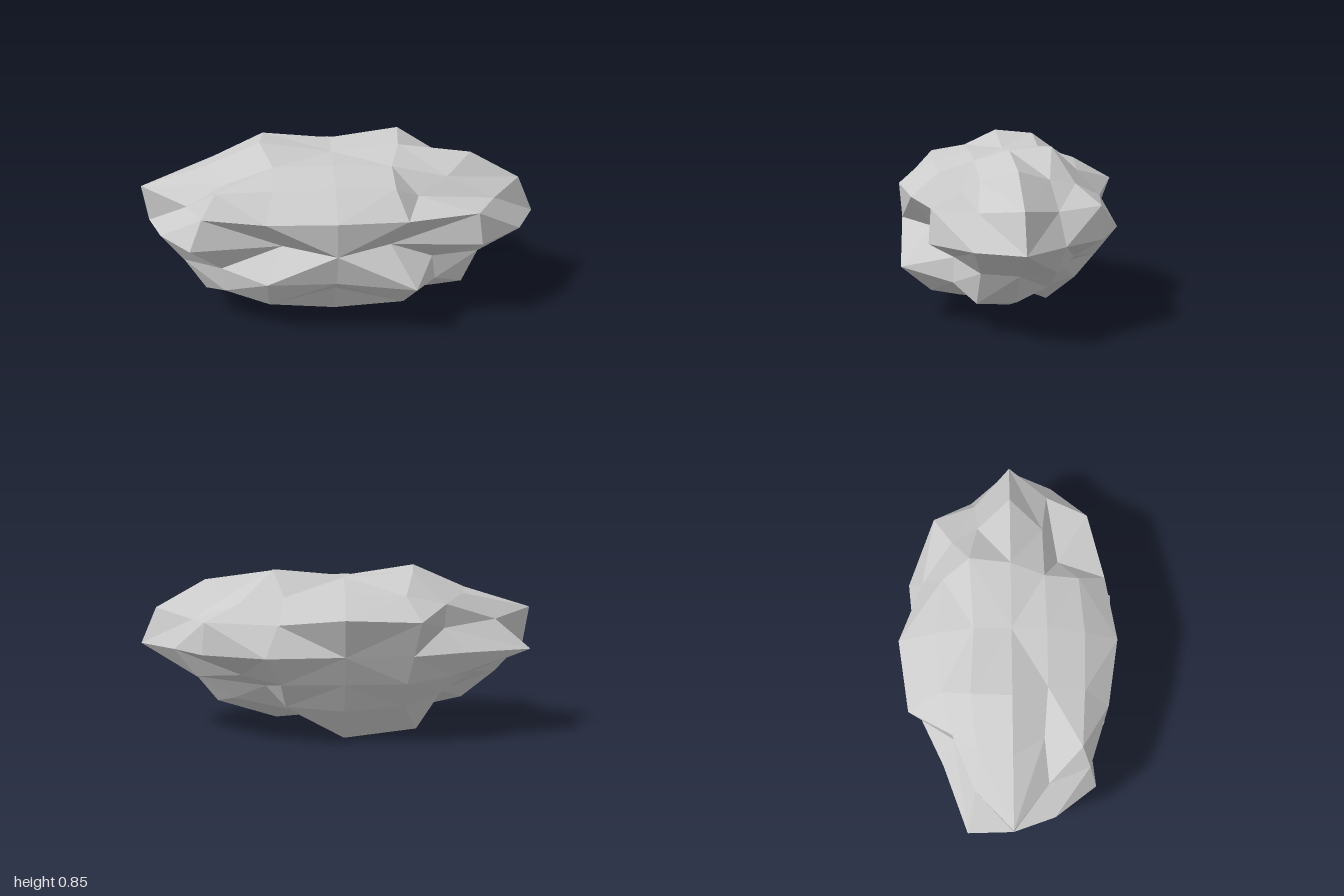
import * as THREE from 'three';

// Radii in percent on a 5 x 5 x 5 cube-sphere lattice.
// One layer per height (bottom to top), rows run back to front, columns -x to +x.
const _ = 0;
const LAYERS = [
  [[82, 87, 88, 87, 68],
   [73, 102, 105, 79, 83],
   [87, 82, 78, 91, 92],
   [97, 85, 98, 87, 98],
   [95, 99, 78, 100, 87]],
  [[80, 85, 81, 87, 76],
   [75, _, _, _, 86],
   [85, _, _, _, 84],
   [87, _, _, _, 85],
   [84, 95, 89, 107, 73]],
  [[84, 87, 85, 99, 98],
   [101, _, _, _, 92],
   [93, _, _, _, 104],
   [93, _, _, _, 101],
   [100, 68, 89, 70, 101]],
  [[74, 102, 105, 90, 102],
   [88, _, _, _, 88],
   [104, _, _, _, 104],
   [84, _, _, _, 93],
   [97, 95, 99, 96, 104]],
  [[87, 90, 90, 88, 89],
   [89, 96, 83, 99, 86],
   [88, 94, 75, 88, 100],
   [79, 83, 79, 81, 85],
   [100, 91, 88, 88, 72]],
];

const CENTRE = new THREE.Vector3(-0.04, 0.45, 0.02);
const SCALE = new THREE.Vector3(1, 0.465, 0.58);

// Lattice point pushed out to its radius, then squashed to the rock's proportions
function surfacePoint([i, j, k]) {
  const radius = LAYERS[j + 2][k + 2][i + 2] / 100;
  const onCubeEdge = [i, j, k].filter((n) => Math.abs(n) === 2).length > 1;
  const step = onCubeEdge ? 0.5 : 0.414;
  const warp = (n) => (Math.abs(n) === 2 ? n / 2 : n * step);
  return new THREE.Vector3(warp(i), warp(j), warp(k))
    .normalize().multiplyScalar(radius).multiply(SCALE).add(CENTRE);
}

function rockGeometry() {
  const positions = [];
  const addTriangle = (flip, a, b, c) => {
    for (const p of flip ? [a, c, b] : [a, b, c]) positions.push(...surfacePoint(p).toArray());
  };
  for (let axis = 0; axis < 3; axis++) {
    for (const side of [-1, 1]) {
      const at = (p, q) => {
        const v = [0, 0, 0];
        v[axis] = 2 * side;
        v[(axis + 1) % 3] = p;
        v[(axis + 2) % 3] = q;
        return v;
      };
      // Four mirrored quarters; diagonals radiate from the middle of each side
      for (const sp of [-1, 1]) for (const sq of [-1, 1]) {
        const flip = side * sp * sq < 0;
        for (let p = 0; p < 2; p++) for (let q = 0; q < 2; q++) {
          const inner = at(sp * p, sq * q);
          const outer = at(sp * (p + 1), sq * (q + 1));
          addTriangle(flip, inner, at(sp * (p + 1), sq * q), outer);
          addTriangle(flip, inner, outer, at(sp * p, sq * (q + 1)));
        }
      }
    }
  }
  const geometry = new THREE.BufferGeometry();
  geometry.setAttribute('position', new THREE.Float32BufferAttribute(positions, 3));
  geometry.computeVertexNormals();
  return geometry;
}

export function createModel() {
  const group = new THREE.Group();
  group.name = 'asteroid';
  const rock = new THREE.Mesh(
    rockGeometry(),
    new THREE.MeshStandardMaterial({ color: 0xcccccc, flatShading: true })
  );
  rock.name = 'rock';
  group.add(rock);

  // Rest on the ground, centred
  const box = new THREE.Box3().setFromObject(rock);
  const mid = box.getCenter(new THREE.Vector3());
  rock.position.set(-mid.x, -box.min.y, -mid.z);
  return group;
}
